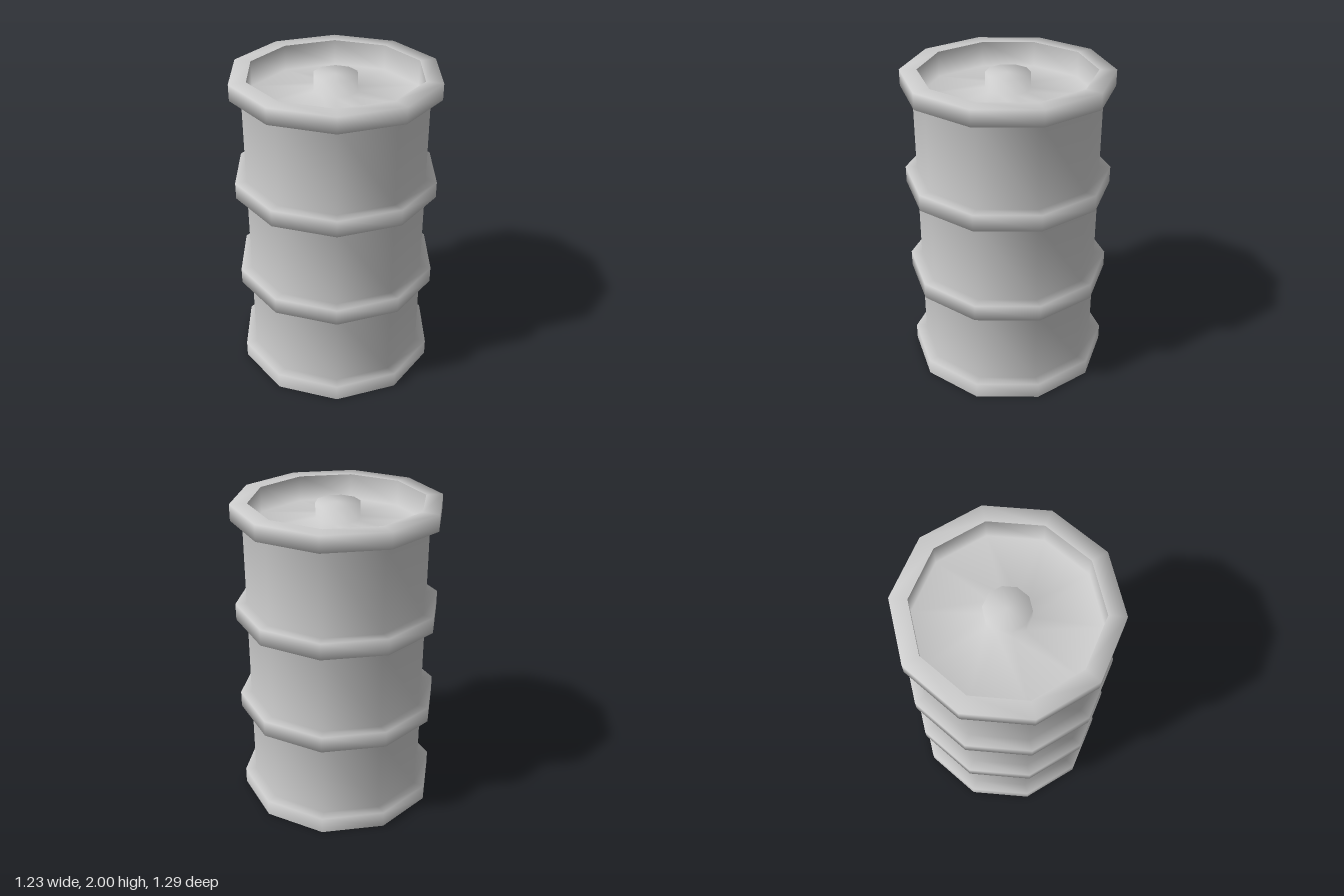
import * as THREE from 'three';

const SIDES = 10;
const WALL = 0.575;   // drum wall radius
const BAND = 0.645;   // raised band radius
const RIM = 0.54;     // inner radius of the top rim
const KNOB = 0.137;   // radius of the centre cap

const material = new THREE.MeshStandardMaterial({ color: 0xcccccc, side: THREE.DoubleSide });

// Revolve a [radius, height] profile into a smooth ten-sided mesh
function revolve(name, profile) {
  const points = profile.map(([r, y]) => new THREE.Vector2(r, y));
  const mesh = new THREE.Mesh(new THREE.LatheGeometry(points, SIDES), material);
  mesh.name = name;
  return mesh;
}

export function createModel() {
  const group = new THREE.Group();
  group.name = 'barrel';

  // Thin shell, open below: the wall steps out at each band
  const bands = [[0, 0.105], [0.62, 0.725], [1.255, 1.36], [1.9, 2]];
  const shell = [];
  bands.forEach(([low, high], i) => {
    if (i > 0) shell.push([WALL, low]);
    shell.push([BAND, low], [BAND, high]);
    shell.push([i < bands.length - 1 ? WALL : RIM, high]);
  });
  group.add(revolve('bandedShell', shell));

  // Recessed lid: rim inside, shallow cone and raised centre cap
  group.add(revolve('recessedLid', [
    [RIM, 2], [RIM, 1.84], [KNOB, 1.89], [KNOB, 1.985], [0, 1.985],
  ]));

  return group;
}
